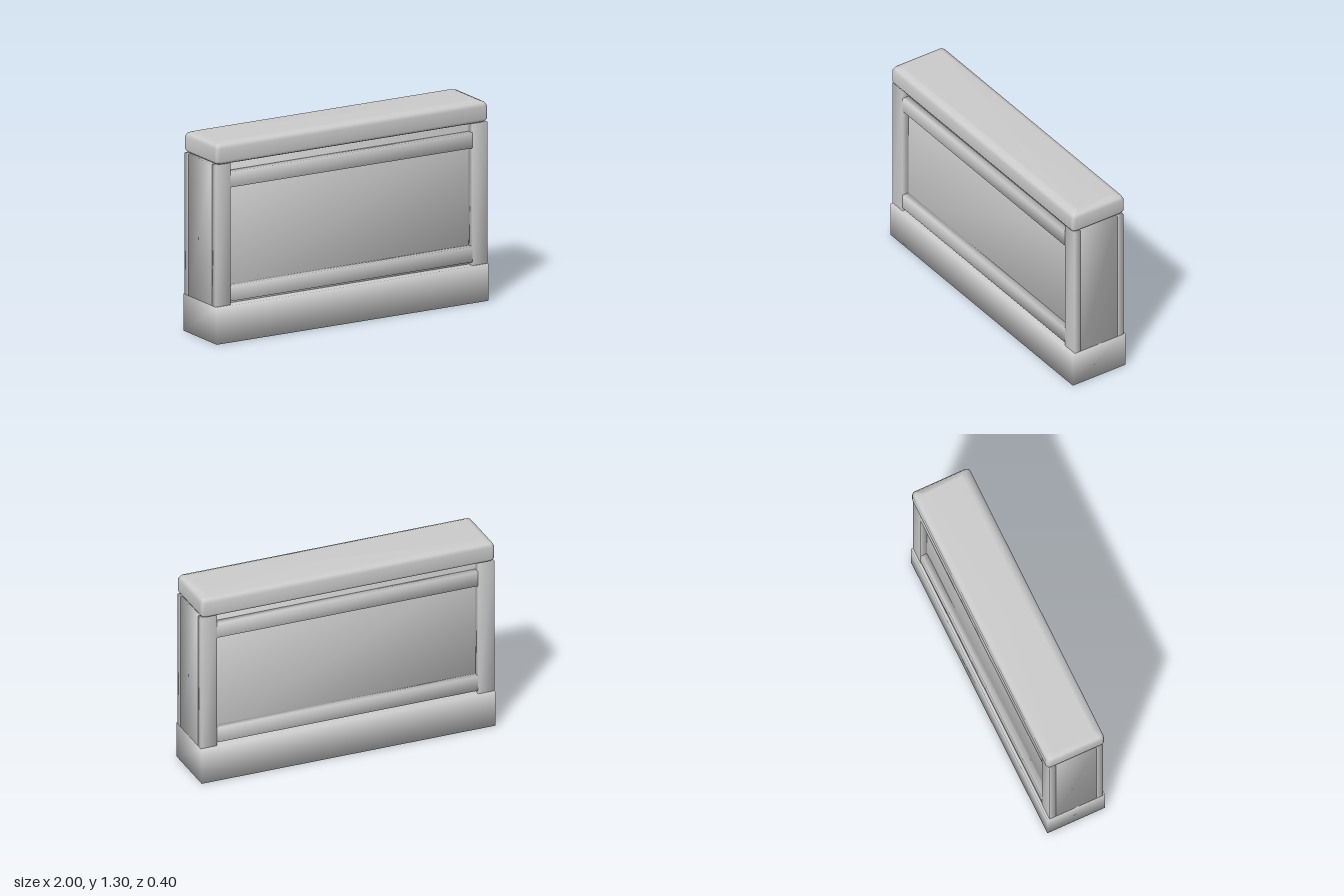
import * as THREE from 'three';
import { mergeVertices } from 'three/addons/utils/BufferGeometryUtils.js';

const material = new THREE.MeshStandardMaterial({ color: 0xcccccc });

// Box with normals averaged over its shared corners
function softBox(width, height, depth) {
  const box = new THREE.BoxGeometry(width, height, depth);
  box.deleteAttribute('normal');
  box.deleteAttribute('uv');
  const geometry = mergeVertices(box);
  geometry.computeVertexNormals();
  return geometry;
}

// Slab lofted through rounded rectangles; each level is [y, inset]
function roundedSlab(halfX, halfZ, radius, levels) {
  const steps = 3;
  const corners = [[1, 1], [-1, 1], [-1, -1], [1, -1]];
  const count = corners.length * (steps + 1);
  const positions = [];
  const index = [];
  for (const [y, inset] of levels) {
    corners.forEach(([sx, sz], c) => {
      for (let i = 0; i <= steps; i++) {
        const a = (c + i / steps) * Math.PI / 2;
        positions.push(
          sx * (halfX - inset - radius) + radius * Math.cos(a), y,
          sz * (halfZ - inset - radius) + radius * Math.sin(a));
      }
    });
  }
  for (let k = 0; k < levels.length - 1; k++) {
    for (let i = 0; i < count; i++) {
      const a = k * count + i, b = k * count + (i + 1) % count;
      index.push(a, a + count, b, b, a + count, b + count);
    }
  }
  // Close the underside and the top
  const last = (levels.length - 1) * count;
  for (let i = 1; i < count - 1; i++) {
    index.push(0, i, i + 1);
    index.push(last, last + i + 1, last + i);
  }
  const geometry = new THREE.BufferGeometry();
  geometry.setAttribute('position', new THREE.Float32BufferAttribute(positions, 3));
  geometry.setIndex(index);
  geometry.computeVertexNormals();
  return geometry;
}

export function createModel() {
  const model = new THREE.Group();
  model.name = 'barrier';

  function add(name, geometry, x = 0, y = 0, z = 0) {
    const mesh = new THREE.Mesh(geometry, material);
    mesh.name = name;
    mesh.position.set(x, y, z);
    model.add(mesh);
  }

  // Plinth and the thick panel standing on it
  add('base', softBox(2, 0.24, 0.4), 0, 0.12, 0);
  add('panel', softBox(2, 0.92, 0.28), 0, 0.7, 0);

  for (const side of [1, -1]) {
    const face = side > 0 ? 'front' : 'back';

    // Corner posts
    for (const end of [1, -1]) {
      add(face + (end > 0 ? 'LeftPost' : 'RightPost'),
        softBox(0.11, 0.92, 0.045), end * 0.945, 0.7, side * 0.1625);
    }

    // Horizontal rails between the posts
    add(face + 'UpperRail', softBox(1.78, 0.1, 0.05), 0, 1.053, side * 0.16);
    add(face + 'LowerRail', softBox(1.78, 0.1, 0.05), 0, 0.313, side * 0.16);
  }

  // Rounded coping along the top
  add('cap', roundedSlab(1, 0.2, 0.025, [
    [1.16, 0.025], [1.168, 0.01], [1.185, 0], [1.265, 0], [1.287, 0.012], [1.3, 0.045],
  ]));

  return model;
}
